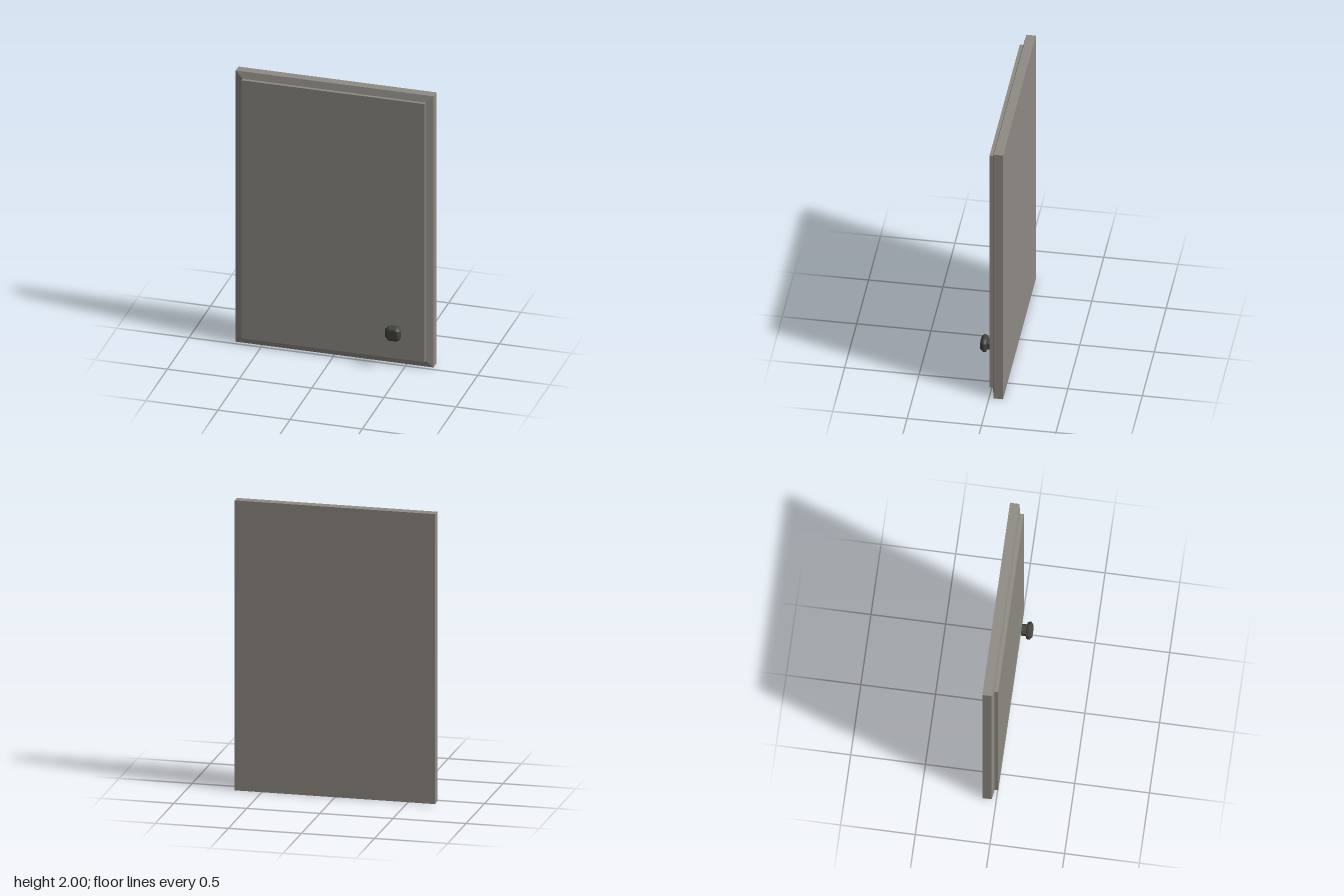
import * as THREE from 'three';

// Convex outline: a rectangle with its corners optionally cut off
function outline(w, h, cut, z) {
  if (!cut) return [[w, -h, z], [w, h, z], [-w, h, z], [-w, -h, z]];
  return [
    [w, -h + cut, z], [w, h - cut, z], [w - cut, h, z], [-w + cut, h, z],
    [-w, h - cut, z], [-w, -h + cut, z], [-w + cut, -h, z], [w - cut, -h, z],
  ];
}

// Flat-faced solid through outlines ordered from back to front, capped at both ends
function loft(rings) {
  const pos = [];
  const tri = (a, b, c) => pos.push(...a, ...b, ...c);
  const n = rings[0].length;
  for (let r = 0; r < rings.length - 1; r++) {
    const back = rings[r], front = rings[r + 1];
    for (let i = 0; i < n; i++) {
      const j = (i + 1) % n;
      tri(back[i], back[j], front[j]);
      tri(back[i], front[j], front[i]);
    }
  }
  const first = rings[0], last = rings[rings.length - 1];
  for (let i = 1; i < n - 1; i++) {
    tri(first[0], first[i + 1], first[i]);
    tri(last[0], last[i], last[i + 1]);
  }
  const geo = new THREE.BufferGeometry();
  geo.setAttribute('position', new THREE.Float32BufferAttribute(pos, 3));
  geo.computeVertexNormals();
  return geo;
}

export function createModel() {
  const group = new THREE.Group();
  const doorGrey = new THREE.MeshStandardMaterial({ color: 0x8f8b84 });
  doorGrey.name = 'warm grey';
  const knobDark = new THREE.MeshStandardMaterial({ color: 0x42443d });
  knobDark.name = 'dark iron';

  const add = (name, rings, material, x, y) => {
    const mesh = new THREE.Mesh(loft(rings.map((r) => outline(...r))), material);
    mesh.name = name;
    mesh.position.set(x, y, 0);
    group.add(mesh);
  };

  // Door slab: straight edge, shallow bevel, then the raised front panel
  add('doorPanel', [
    [0.685, 1, 0, -0.094],
    [0.685, 1, 0, -0.031],
    [0.634, 0.952, 0, -0.018],
    [0.634, 0.952, 0, 0.005],
  ], doorGrey, 0, 1);

  // Knob: eight-sided neck flaring into a bevelled cap, just clear of the panel
  add('knob', [
    [0.035, 0.035, 0.015, 0.018],
    [0.035, 0.035, 0.015, 0.05],
    [0.048, 0.048, 0.021, 0.053],
    [0.054, 0.053, 0.025, 0.066],
    [0.054, 0.053, 0.025, 0.076],
    [0.035, 0.034, 0.01, 0.094],
  ], knobDark, 0.434, 0.262);

  return group;
}
